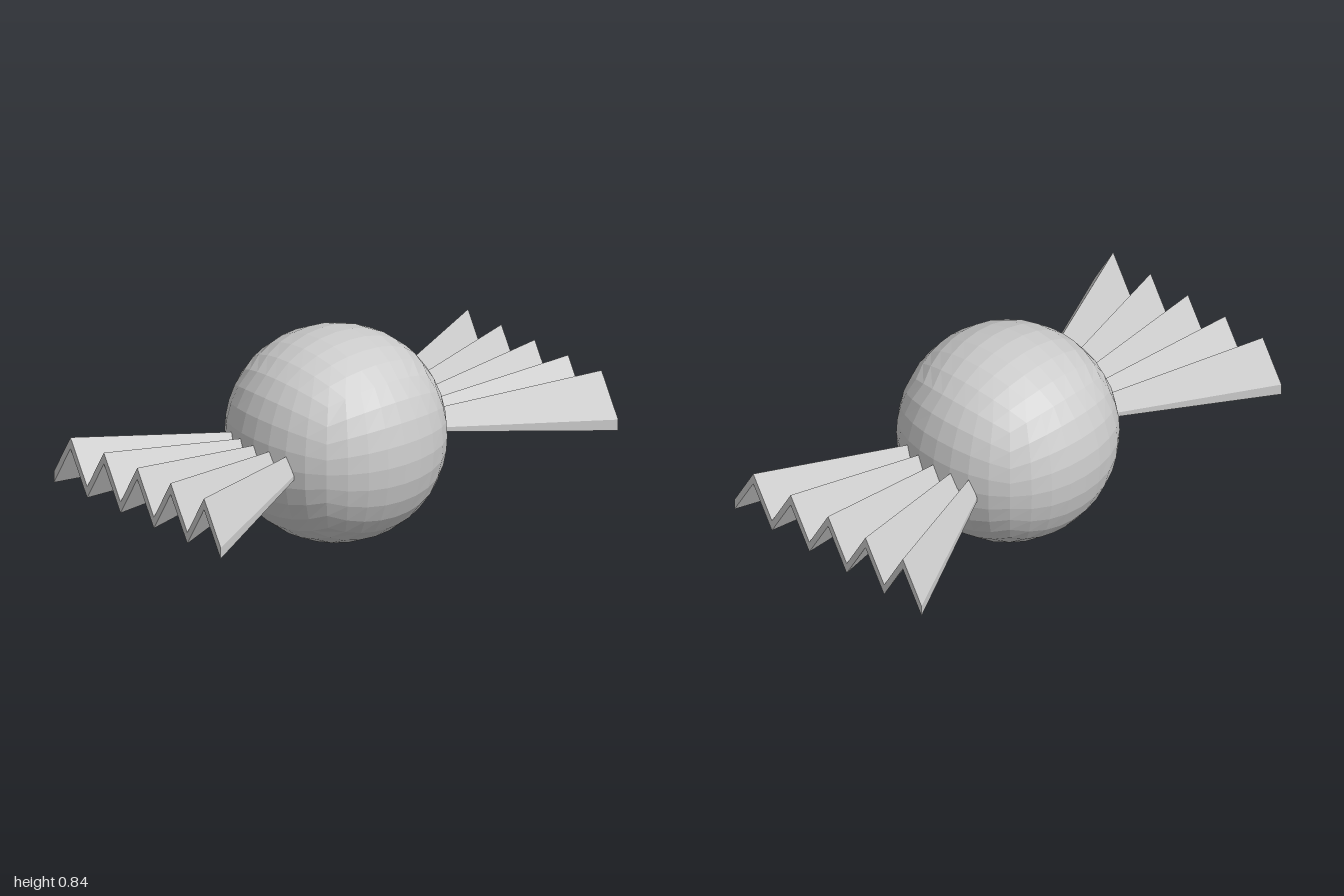
import * as THREE from 'three';

const RADIUS = 0.42;

// Rounded cube: a subdivided box swollen into a slightly squarish ball
function ballGeometry() {
  const geo = new THREE.BoxGeometry(2, 2, 2, 8, 8, 8);
  const pos = geo.attributes.position;
  const v = new THREE.Vector3();
  for (let i = 0; i < pos.count; i++) {
    v.fromBufferAttribute(pos, i);
    v.set(...v.toArray().map((c) => Math.tan((c * Math.PI) / 4))).normalize();
    const s = v.x ** 4 + v.y ** 4 + v.z ** 4;
    v.multiplyScalar(RADIUS * (1 + 0.052 * (1 - s)));
    pos.setXYZ(i, v.x, v.y, v.z);
  }
  geo.computeVertexNormals();
  return geo;
}

// Pleated fan: a zigzag strip with thickness, tapering towards the ball
function wingGeometry() {
  const folds = 10;
  const innerX = 0.38;
  const taper = 0.4;
  const points = [];
  const quad = (a, b, c, d) => points.push(...a, ...b, ...c, ...a, ...c, ...d);
  // corner of fold i on the inner/outer end and the upper/lower skin
  const at = (i, outer, upper) => {
    const k = outer ? 1 : taper;
    const peak = i % 2 === 1;
    const y = upper ? (peak ? 0.11 : -0.064) : (peak ? 0.063 : -0.11);
    return [outer ? 1 : innerX, y * k, (0.5 - i / folds) * k];
  };
  for (let i = 0; i < folds; i++) {
    const j = i + 1;
    quad(at(i, 0, 1), at(i, 1, 1), at(j, 1, 1), at(j, 0, 1)); // upper skin
    quad(at(j, 0, 0), at(j, 1, 0), at(i, 1, 0), at(i, 0, 0)); // lower skin
    quad(at(i, 1, 0), at(j, 1, 0), at(j, 1, 1), at(i, 1, 1)); // outer end
    quad(at(j, 0, 0), at(i, 0, 0), at(i, 0, 1), at(j, 0, 1)); // inner end
  }
  quad(at(0, 0, 0), at(0, 1, 0), at(0, 1, 1), at(0, 0, 1)); // front side
  quad(at(folds, 1, 0), at(folds, 0, 0), at(folds, 0, 1), at(folds, 1, 1)); // back side
  const geo = new THREE.BufferGeometry();
  geo.setAttribute('position', new THREE.Float32BufferAttribute(points, 3));
  geo.computeVertexNormals();
  return geo;
}

export function createModel() {
  const model = new THREE.Group();
  model.name = 'wrappedSweet';
  const grey = new THREE.MeshStandardMaterial({ color: 0xcccccc });
  grey.name = 'light grey';
  grey.flatShading = true;

  const ball = new THREE.Mesh(ballGeometry(), grey);
  ball.name = 'ball';
  ball.position.y = RADIUS;
  model.add(ball);

  // The same fan on both sides, turned half a circle
  const wingGeo = wingGeometry();
  ['leftWrapperEnd', 'rightWrapperEnd'].forEach((name, i) => {
    const wing = new THREE.Mesh(wingGeo, grey);
    wing.name = name;
    wing.position.y = 0.43;
    wing.rotation.y = i * Math.PI;
    model.add(wing);
  });
  return model;
}
